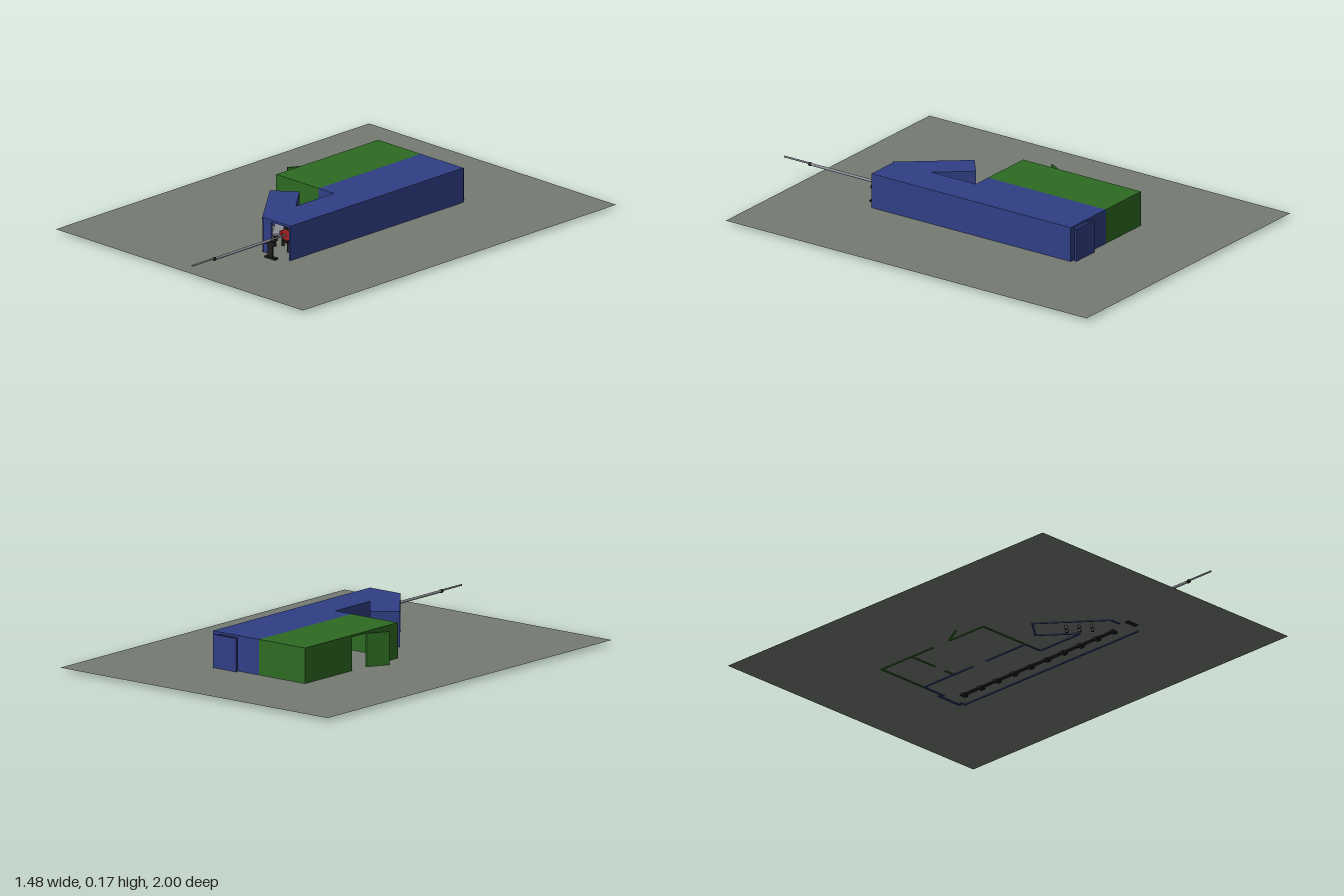
import * as THREE from 'three';

const mat = (color) => new THREE.MeshStandardMaterial({ color, side: THREE.DoubleSide });
const BLUE = mat(0x2f3f85), GREEN = mat(0x2d6b22), GROUND = mat(0x757a73);
const BLACK = mat(0x1c1e1c), STEEL = mat(0x8a8c94), MAGNET = mat(0x3d7595), RED = mat(0xa02020);

const FLOOR = 0.014, BASE = 0.011, EAVE = 0.16, TOP = 0.17, THICK = 0.008;

function add(parent, name, geometry, material, x = 0, y = 0, z = 0) {
  const mesh = new THREE.Mesh(geometry, material);
  mesh.name = name;
  mesh.position.set(x, y, z);
  parent.add(mesh);
  return mesh;
}

const box = (parent, name, w, h, d, material, x, y, z) =>
  add(parent, name, new THREE.BoxGeometry(w, h, d), material, x, y, z);

// Rod along z
function rod(parent, name, r, z0, z1, material, x, y, sides = 12) {
  const g = new THREE.CylinderGeometry(r, r, z1 - z0, sides).rotateX(Math.PI / 2);
  return add(parent, name, g, material, x, y, (z0 + z1) / 2);
}

// Flat roof slab over a plan outline of [x, z] corners
function roof(parent, name, plan, material) {
  const shape = new THREE.Shape(plan.map(([x, z]) => new THREE.Vector2(x, -z)));
  const g = new THREE.ExtrudeGeometry(shape, { depth: TOP - EAVE, bevelEnabled: false });
  add(parent, name, g.rotateX(-Math.PI / 2), material, 0, EAVE, 0);
}

// Wall between two plan points, with an optional doorway from distance a to b
function wall(parent, name, [x0, z0], [x1, z1], material, door) {
  const length = Math.hypot(x1 - x0, z1 - z0);
  const group = new THREE.Group();
  group.name = name;
  group.position.set(x0, 0, z0);
  group.rotation.y = -Math.atan2(z1 - z0, x1 - x0);
  const spans = door ? [[0, door[0]], [door[1], length]] : [[0, length]];
  for (const [a, b] of spans) {
    if (b - a < 0.001) continue;
    box(group, name + 'Panel', b - a, EAVE - BASE, THICK, material, (a + b) / 2, (EAVE + BASE) / 2, 0);
  }
  parent.add(group);
}

// Support frame with feet reaching below the floor
function stand(parent, x, z, height) {
  const g = new THREE.Group();
  g.name = 'stand';
  g.position.set(x, 0, z);
  box(g, 'standFoot', 0.03, 0.01, 0.02, BLACK, 0, 0.009, 0);
  box(g, 'standColumn', 0.02, height - 0.01, 0.012, BLACK, 0, (height + 0.01) / 2, 0);
  box(g, 'standShelf', 0.06, 0.008, 0.03, BLACK, 0, height, 0);
  parent.add(g);
}

export function createModel() {
  const model = new THREE.Group();
  model.name = 'beamlineBuilding';

  add(model, 'ground', new THREE.PlaneGeometry(1.48, 1.9).rotateX(-Math.PI / 2), GROUND, 0, FLOOR, -0.05);

  // Roofs
  const A = [0.09, 0.49], B = [-0.13, 0.22], C = [-0.03, 0.14], D = [0.09, 0.285];
  const hall = new THREE.Group(), annex = new THREE.Group();
  hall.name = 'hall';
  annex.name = 'annex';
  model.add(hall, annex);
  roof(hall, 'hallRoof', [[0, -0.565], [0.255, -0.565], [0.255, 0.485], [0.09, 0.485],
    A, B, C, D, [0.09, 0.055], [0, 0.055]], BLUE);
  roof(annex, 'annexRoof', [[-0.255, -0.565], [0, -0.565], [0, 0.055], [-0.255, 0.055]], GREEN);

  // Hall walls, set in by half a wall thickness
  const i = THICK / 2;
  wall(hall, 'outerWall', [0.255 - i, -0.565], [0.255 - i, 0.485], BLUE);
  wall(hall, 'backWall', [0, -0.565 + i], [0.255, -0.565 + i], BLUE, [0.125, 0.225]);
  wall(hall, 'frontWall', [0.09, 0.485 - i], [0.255, 0.485 - i], BLUE, [0.05, 0.155]);
  wall(hall, 'dividingWall', [i, -0.565], [i, 0.055], BLUE, [0.3, 0.38]);
  wall(hall, 'stepWall', [0, 0.055 - i], [0.09, 0.055 - i], BLUE);
  wall(hall, 'sideWall', [0.09 + i, 0.05], [0.09 + i, 0.29], BLUE);
  wall(hall, 'wingOuterWall', [0.093, 0.486], [-0.127, 0.217], BLUE);
  wall(hall, 'wingInnerWall', [-0.033, 0.143], [0.087, 0.288], BLUE);
  wall(hall, 'wingEndWall', [-0.126, 0.222], [-0.03, 0.145], BLUE);
  box(hall, 'slidingDoor', 0.13, 0.15, 0.01, BLUE, 0.175, 0.085, -0.579);

  // Annex walls and its open door
  wall(annex, 'annexBackWall', [-0.255, -0.565 + i], [0, -0.565 + i], GREEN);
  wall(annex, 'annexFrontWall', [-0.255, 0.055 - i], [0, 0.055 - i], GREEN);
  wall(annex, 'annexSideWall', [-0.255 + i, -0.565], [-0.255 + i, 0.055], GREEN, [0.315, 0.415]);
  wall(annex, 'annexPartition', [-0.25, -0.38], [0, -0.38], GREEN, [0.14, 0.2]);
  wall(annex, 'openDoor', [-0.253, -0.15], [-0.303, -0.062], GREEN);

  // Beam line running the length of the hall, with magnets on stands
  const line = new THREE.Group();
  line.name = 'beamLine';
  model.add(line);
  const X = 0.175, Y = 0.098;
  rod(line, 'beamPipe', 0.004, -0.5, 0.53, STEEL, X, Y);
  for (let n = 0; n < 10; n++) {
    const z = -0.49 + n * 0.1;
    stand(line, X, z, 0.06);
    const m = rod(line, 'magnet', 0.028, z - 0.022, z + 0.022, n % 3 ? MAGNET : RED, X, Y, 8);
    m.rotation.z = Math.PI / 8;
    for (const s of [-1, 1]) {
      box(line, 'magnetCoil', 0.012, 0.02, 0.05, RED, X + s * 0.03, Y, z);
      box(line, 'magnetYoke', 0.02, 0.012, 0.05, BLACK, X, Y + s * 0.03, z);
    }
  }
  box(line, 'floorRail', 0.016, 0.006, 0.9, BLACK, X, 0.012, -0.045);

  // Long pipe outside the front opening and its post
  rod(line, 'outerPipe', 0.006, 0.53, 0.865, STEEL, X, Y);
  rod(line, 'pipeTip', 0.004, 0.865, 1, STEEL, X, Y + 0.003);
  rod(line, 'pipeCollar', 0.008, 0.86, 0.87, BLACK, X, Y);
  box(line, 'postFoot', 0.06, 0.012, 0.02, BLACK, X, 0.016, 0.52);
  box(line, 'post', 0.03, 0.08, 0.006, BLACK, X, 0.056, 0.524);
  box(line, 'postBracket', 0.056, 0.014, 0.012, BLACK, X, 0.082, 0.522);

  // Bench stands in the slanted wing
  const bench = new THREE.Group();
  bench.name = 'wingBench';
  bench.position.set(0.045, 0, 0.335);
  bench.rotation.y = -Math.atan2(A[1] - B[1], A[0] - B[0]);
  for (const dx of [-0.055, 0, 0.055])
    for (const dz of [-0.018, 0.018])
      box(bench, 'benchLeg', 0.012, 0.06, 0.012, BLACK, dx, 0.03, dz);
  box(bench, 'benchTop', 0.14, 0.01, 0.055, STEEL, 0, 0.065, 0);
  model.add(bench);

  return model;
}
